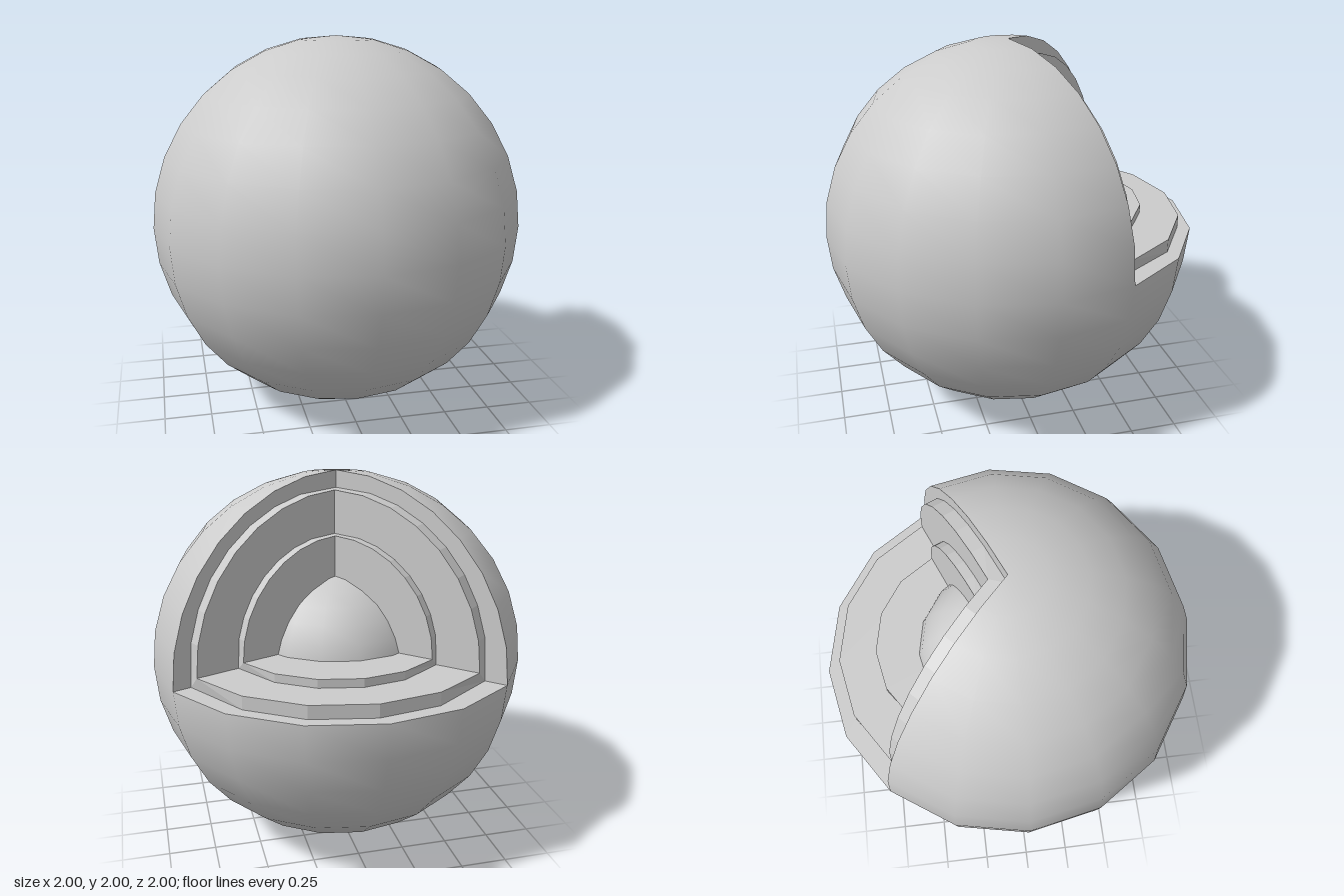
import * as THREE from 'three';

const SEG = 16;                        // segments around and from pole to pole
const STEP = (Math.PI * 2) / SEG;
const CUT_START = 9 * STEP, CUT_SEGS = 5;   // the wedge missing from the upper half
const CUT_END = CUT_START + CUT_SEGS * STEP;

const direction = (phi, theta) => new THREE.Vector3(
  -Math.cos(phi) * Math.sin(theta), Math.cos(theta), Math.sin(phi) * Math.sin(theta));

// Closed rim of the wedge: down one wall, along the floor, up the other wall.
// Each point lists the cut faces it lies on.
function wedgeRim() {
  const rim = [], q = SEG / 2;
  for (let i = 0; i < q; i++)
    rim.push({ dir: direction(CUT_END, (i / q) * Math.PI / 2), on: i ? ['end'] : ['end', 'start'] });
  for (let i = 0; i <= CUT_SEGS; i++) {
    const on = ['floor'];
    if (i === 0) on.push('end');
    if (i === CUT_SEGS) on.push('start');
    rim.push({ dir: direction(CUT_END - i * STEP, Math.PI / 2), on });
  }
  for (let i = q - 1; i > 0; i--)
    rim.push({ dir: direction(CUT_START, (i / q) * Math.PI / 2), on: ['start'] });
  return rim;
}

// Part of a layer's offset that is perpendicular to the cut faces a point lies on
function liftOff(shift, on) {
  const up = new THREE.Vector3(0, on.includes('floor') ? shift.y : 0, 0);
  const side = new THREE.Vector3(shift.x, 0, shift.z);
  if (on.includes('end') && on.includes('start')) return up.add(side);
  for (const [name, phi] of [['end', CUT_END], ['start', CUT_START]]) {
    if (!on.includes(name)) continue;
    const n = direction(phi + Math.PI / 2, Math.PI / 2);
    up.addScaledVector(n, n.dot(side));
  }
  return up;
}

// Flat-faced band between two matching loops
function band(name, outer, inner, material) {
  const pos = [];
  outer.forEach((o, k) => {
    const j = (k + 1) % outer.length;
    for (const p of [o, inner[k], inner[j], o, inner[j], outer[j]]) pos.push(p.x, p.y, p.z);
  });
  const geo = new THREE.BufferGeometry();
  geo.setAttribute('position', new THREE.Float32BufferAttribute(pos, 3));
  geo.computeVertexNormals();
  const mesh = new THREE.Mesh(geo, material);
  mesh.name = name;
  return mesh;
}

export function createModel() {
  const group = new THREE.Group();
  group.name = 'layeredGlobe';
  const smooth = new THREE.MeshStandardMaterial({ color: 0xcccccc });
  const flat = new THREE.MeshStandardMaterial({ color: 0xcccccc, flatShading: true, side: THREE.DoubleSide });

  const ball = (name, ...args) => {
    const mesh = new THREE.Mesh(new THREE.SphereGeometry(...args), smooth);
    mesh.name = name;
    mesh.position.y = 1;
    group.add(mesh);
  };

  // Outer surface: full lower half, upper half with the wedge left out
  ball('lowerCrust', 1, SEG, SEG / 2, 0, Math.PI * 2, Math.PI / 2, Math.PI / 2);
  ball('upperCrust', 1, SEG - CUT_SEGS, SEG / 2, CUT_END, (SEG - CUT_SEGS) * STEP, 0, Math.PI / 2);

  // Core showing through the cut
  ball('core', 0.5, SEG, SEG);

  // Terraced cut faces, each layer standing proud of the one around it
  const rim = wedgeRim();
  const loop = (apex, r) => rim.map(({ dir }) => dir.clone().multiplyScalar(r).add(apex));
  let apex = new THREE.Vector3(0, 1, 0);
  let outer = loop(apex, 1);
  const layers = [
    ['crust', 'mantle', new THREE.Vector3(0.03, 1.07, -0.088), 0.84],
    ['mantle', 'outerCore', new THREE.Vector3(0.043, 1.115, -0.15), 0.57],
  ];
  for (const [face, step, nextApex, r] of layers) {
    const shift = nextApex.clone().sub(apex);
    const top = loop(nextApex, r);
    const foot = top.map((p, k) => p.clone().sub(liftOff(shift, rim[k].on)));
    group.add(band(face + 'CutFace', outer, foot, flat));
    group.add(band(step + 'Step', foot, top, flat));
    outer = top;
    apex = nextApex;
  }
  group.add(band('outerCoreCutFace', outer, outer.map(() => apex), flat));
  return group;
}
